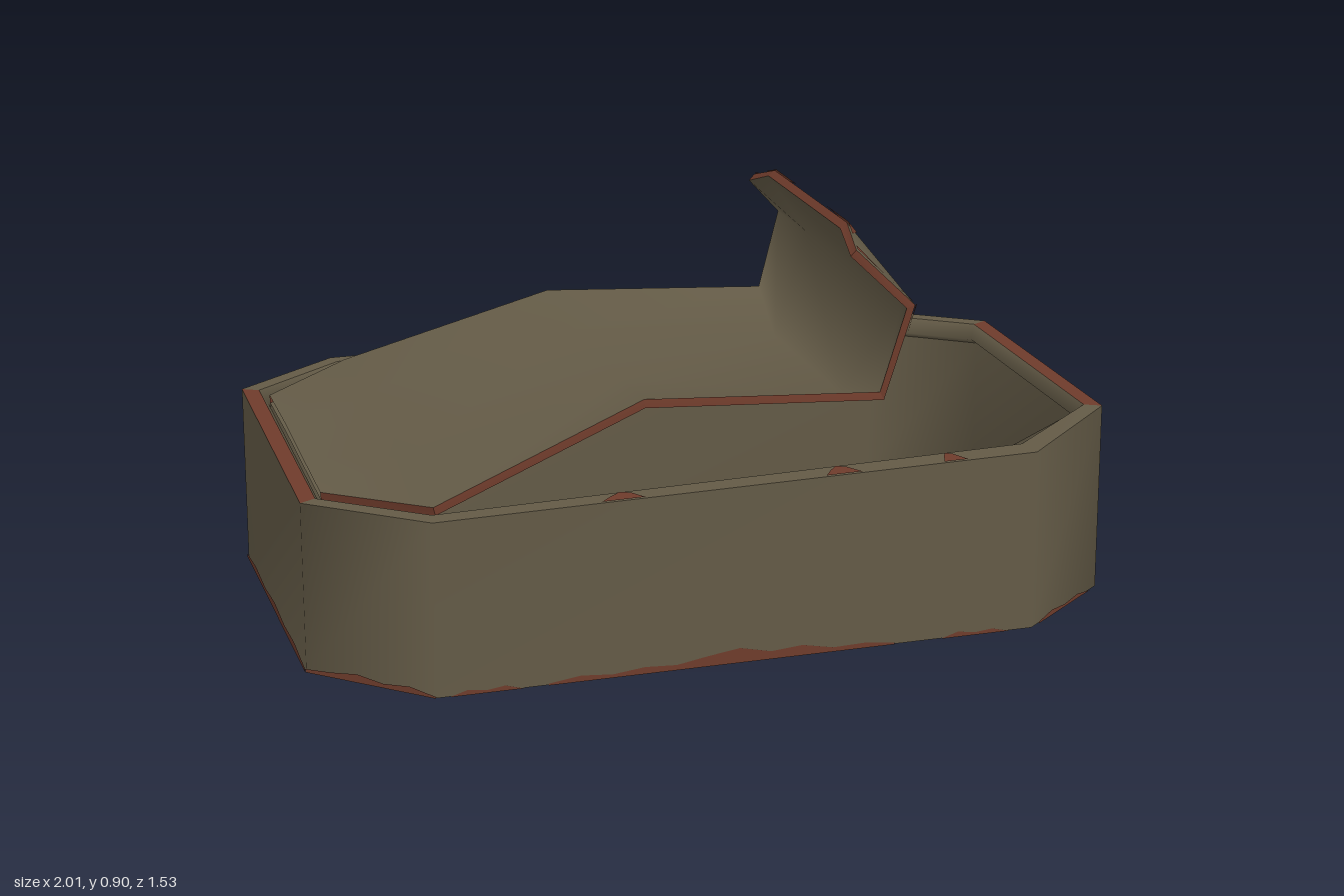
import * as THREE from 'three';

const olive = new THREE.MeshStandardMaterial({ color: 0x635a46, side: THREE.DoubleSide });
olive.name = 'olive metal';
const rust = new THREE.MeshStandardMaterial({ color: 0x6e3b2b, side: THREE.DoubleSide });
rust.name = 'rust';

function makeMesh(name, points, index, material) {
  const geo = new THREE.BufferGeometry().setFromPoints(points);
  geo.setIndex(index);
  geo.computeVertexNormals();
  const mesh = new THREE.Mesh(geo, material);
  mesh.name = name;
  return mesh;
}

// Eight-sided ring: end corners at (ex, ez), side corners at (sx, sz)
function ring(ex, ez, sx, sz, heights, backLean = 0, frontRight = sz) {
  return [
    [-ex, -ez], [-sx, -sz + backLean], [sx, -sz + backLean], [ex, -ez],
    [ex, ez], [sx, frontRight], [-sx, sz], [-ex, ez],
  ].map(([x, z], i) => new THREE.Vector3(x, heights[i], z));
}

// Bands of quads joining a stack of rings, on the chosen sides only
function strip(name, rings, material, sides = [0, 1, 2, 3, 4, 5, 6, 7]) {
  const index = [];
  for (let r = 0; r < (rings.length - 1) * 8; r += 8) {
    for (const i of sides) {
      const a = r + i, b = r + (i + 1) % 8;
      index.push(a, a + 8, b, b, a + 8, b + 8);
    }
  }
  return makeMesh(name, rings.flat(), index, material);
}

function cap(name, loop, up) {
  const index = [];
  for (let i = 1; i < 7; i++) index.push(0, up ? i + 1 : i, up ? i : i + 1);
  return makeMesh(name, loop, index, olive);
}

// Ragged rust stain on one side of a band, hugging ring a
function stain(name, a, b, side, u0, u1, depths) {
  const j = (side + 1) % 8;
  const points = [], index = [];
  const n = depths.length - 1;
  const normal = b[side].clone().sub(a[side]).cross(a[j].clone().sub(a[side])).normalize();
  depths.forEach((d, k) => {
    const u = u0 + (u1 - u0) * k / n;
    const p = a[side].clone().lerp(a[j], u).addScaledVector(normal, 0.003);
    const q = b[side].clone().lerp(b[j], u).addScaledVector(normal, 0.003);
    points.push(p, p.clone().lerp(q, d));
    if (k < n) index.push(2 * k, 2 * k + 1, 2 * k + 2, 2 * k + 2, 2 * k + 1, 2 * k + 3);
  });
  return makeMesh(name, points, index, rust);
}

// Peeled lid: rows of four points from the hinge end to the curled tip
function buildLid() {
  const rows = [
    [[-0.88, 0.437, -0.3], [-0.88, 0.43, -0.1], [-0.88, 0.415, 0.1], [-0.88, 0.402, 0.3]],
    [[-0.668, 0.455, -0.466], [-0.668, 0.445, -0.2], [-0.668, 0.43, 0.2], [-0.668, 0.402, 0.466]],
    [[-0.185, 0.608, -0.39], [-0.18, 0.56, -0.2], [-0.17, 0.56, 0.2], [-0.168, 0.568, 0.37]],
    [[0.362, 0.562, -0.425], [0.34, 0.492, -0.235], [0.34, 0.492, 0.235], [0.362, 0.552, 0.425]],
    [[0.415, 0.745, -0.44], [0.448, 0.72, -0.32], [0.448, 0.72, 0.32], [0.415, 0.745, 0.44]],
    [[0.312, 0.85, -0.357], [0.325, 0.886, -0.25], [0.325, 0.886, 0.25], [0.312, 0.85, 0.357]],
  ];
  const top = rows.flat().map((p) => new THREE.Vector3(...p));
  const index = [];
  for (let r = 0; r < rows.length - 1; r++) {
    for (let c = 0; c < 3; c++) {
      const k = r * 4 + c;
      index.push(k, k + 1, k + 4, k + 4, k + 1, k + 5);
    }
  }
  const lid = new THREE.Group();
  lid.name = 'peeledLid';
  const upper = makeMesh('lidTop', top, index, olive);
  const normals = upper.geometry.attributes.normal;
  const under = top.map((p, i) =>
    p.clone().addScaledVector(new THREE.Vector3().fromBufferAttribute(normals, i), -0.02));
  const lower = makeMesh('lidUnderside', under, index.slice().reverse(), olive);

  // Rusty torn edge around the lid, free of the hinge end
  const loop = [0, 4, 8, 12, 16, 20, 21, 22, 23, 19, 15, 11, 7, 3];
  const edgePoints = [], edgeIndex = [];
  for (let i = 0; i < loop.length - 1; i++) {
    const k = loop[i], next = loop[i + 1], b = edgePoints.length;
    edgePoints.push(top[k], top[next], under[k], under[next]);
    edgeIndex.push(b, b + 1, b + 2, b + 2, b + 1, b + 3);
  }
  lid.add(upper, lower, makeMesh('lidEdge', edgePoints, edgeIndex, rust));

  // Rust chips at the corners of the curled tip, on the outer face
  [[23, 19, 22], [20, 16, 21], [19, 23, 15], [16, 20, 12], [22, 23, 21], [21, 20, 22]].forEach(([k, m, n]) => {
    const inset = k % 4 === 0 || k % 4 === 3 ? k + (k % 4 ? -1 : 1) : k - 4;
    const pts = [under[k], under[k].clone().lerp(under[m], 0.45),
      under[k].clone().lerp(under[inset], 0.14), under[k].clone().lerp(under[n], 0.3)];
    const out = new THREE.Vector3().fromBufferAttribute(normals, k).multiplyScalar(-0.004);
    lid.add(makeMesh('tipRust', pts.map((p) => p.clone().add(out)), [0, 1, 2, 0, 2, 3], rust));
  });
  return lid;
}

export function createModel() {
  const model = new THREE.Group();
  model.name = 'openedTin';
  const tin = new THREE.Group();
  tin.name = 'tin';
  tin.rotation.y = 0.359;
  model.add(tin);

  // Slightly dented heights of base and rim
  const baseY = [0.02, 0, 0, 0.022, 0, 0, 0, 0.012];
  const rimY = [0.44, 0.443, 0.443, 0.443, 0.443, 0.42, 0.4, 0.402];
  const lower = (d) => rimY.map((y) => y - d);

  const base = ring(0.935, 0.358, 0.69, 0.555, baseY);
  const rimOuter = ring(0.935, 0.355, 0.69, 0.553, rimY, 0.025);
  const rimInner = ring(0.898, 0.335, 0.68, 0.505, rimY, 0.012, 0.49);
  const lip = ring(0.88, 0.305, 0.668, 0.466, lower(0.03), 0, 0.43);
  const lipUnder = ring(0.9, 0.32, 0.675, 0.495, lower(0.045), 0.01);
  const floor = ring(0.9, 0.32, 0.675, 0.495, Array(8).fill(0.03), 0.01);

  tin.add(
    strip('outerWall', [base, rimOuter], olive),
    strip('rim', [rimOuter, rimInner], olive, [0, 1, 2, 4, 5, 6]),
    strip('rustyRimEnds', [rimOuter, rimInner], rust, [3, 7]),
    strip('rolledLip', [rimInner, lip, lipUnder], olive),
    strip('innerWall', [lipUnder, floor], olive),
    cap('floor', floor, true),
    cap('underside', base, false),
    buildLid(),
  );

  // Rust along the foot of the walls
  [
    [5, 0.24, 0.82, [0.01, 0.03, 0.025, 0.06, 0.045, 0.085, 0.06, 0.03, 0.04, 0.02, 0.035, 0.01]],
    [5, 0.86, 0.98, [0, 0.03, 0.015, 0.03, 0]],
    [5, 0.04, 0.16, [0, 0.025, 0.015, 0.03, 0]],
    [7, 0, 1, [0.02, 0.05, 0.035, 0.055, 0.03, 0.045, 0.02]],
    [6, 0, 1, [0.01, 0.04, 0.025, 0.05, 0.03, 0.02]],
    [4, 0.1, 0.9, [0, 0.025, 0.015, 0.03, 0.01]],
    [1, 0.3, 0.42, [0, 0.035, 0.02, 0]],
    [1, 0.55, 0.66, [0, 0.03, 0.04, 0]],
  ].forEach(([side, u0, u1, d]) => tin.add(stain('footRust', base, rimOuter, side, u0, u1, d)));

  // Rust spots on the rim
  [
    [1, 0.38, 0.43], [1, 0.66, 0.71],
    [5, 0.12, 0.16], [5, 0.3, 0.36], [5, 0.66, 0.73],
  ].forEach(([side, u0, u1]) =>
    tin.add(stain('rimRust', rimOuter, rimInner, side, u0, u1, [0, 0.7, 0.9, 0.5, 0])));

  return model;
}
